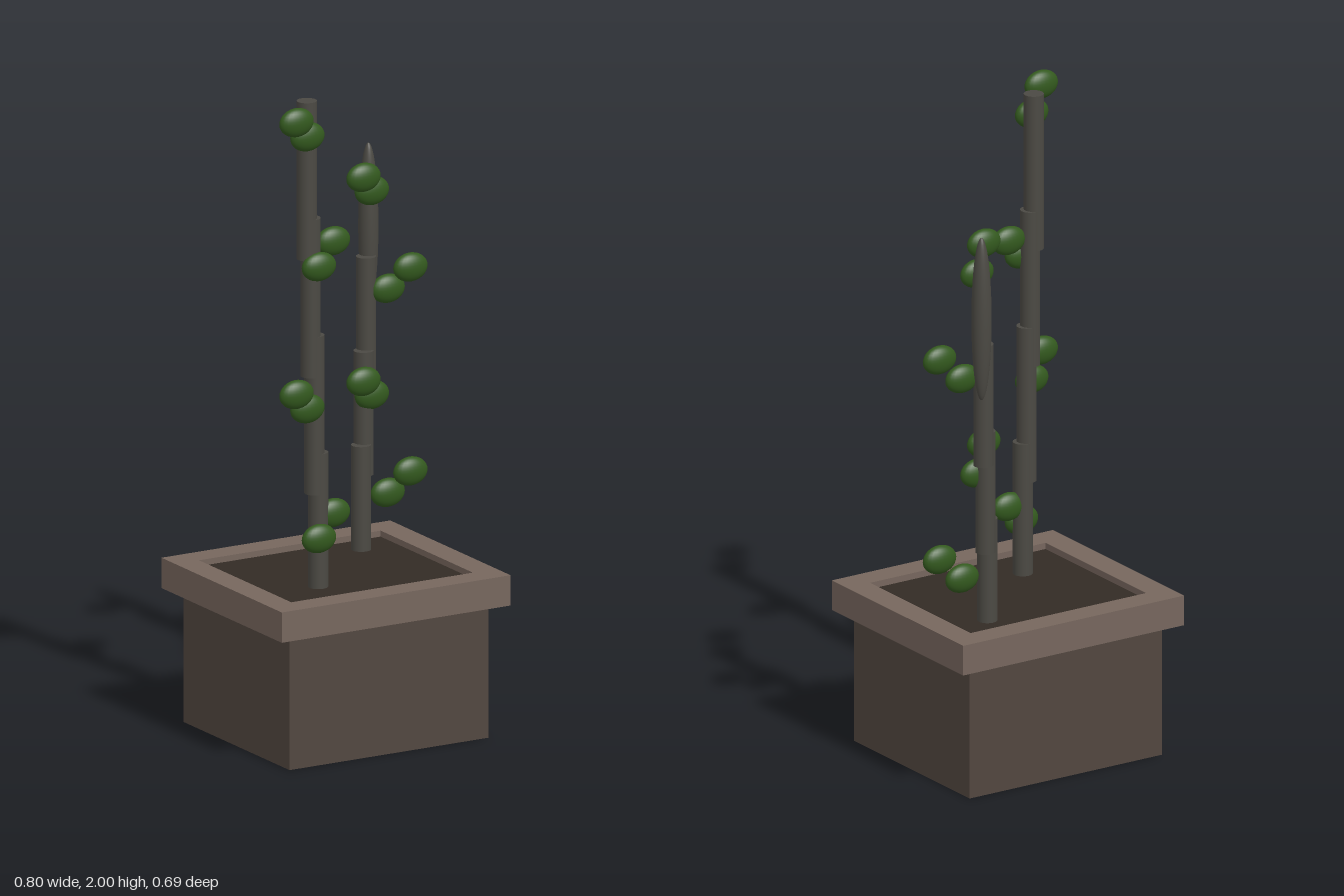
import * as THREE from 'three';

const mat = (color) => new THREE.MeshStandardMaterial({ color });

export function createModel() {
  const model = new THREE.Group();
  const potMat = mat(0x51463f), rimMat = mat(0x76665d), soilMat = mat(0x332b25);
  const stemMat = mat(0x4b4943), leafMat = mat(0x33591e);

  const add = (parent, name, geometry, material, x, y, z) => {
    const mesh = new THREE.Mesh(geometry, material);
    mesh.name = name;
    mesh.position.set(x, y, z);
    parent.add(mesh);
    return mesh;
  };

  // Planter: solid body, square rim with an opening, raised soil inside it
  const planter = new THREE.Group();
  planter.name = 'planter';
  model.add(planter);
  const cx = -0.007, cz = -0.001;
  add(planter, 'potBody', new THREE.BoxGeometry(0.685, 0.41, 0.61), potMat, cx, 0.205, cz);
  add(planter, 'soil', new THREE.BoxGeometry(0.609, 0.08, 0.505), soilMat, cx, 0.447, cz);

  const rect = (shape, w, d) => shape.moveTo(-w, -d).lineTo(w, -d).lineTo(w, d).lineTo(-w, d).closePath();
  const rimShape = rect(new THREE.Shape(), 0.3935, 0.346);
  rimShape.holes.push(rect(new THREE.Path(), 0.3125, 0.265));
  const rimGeo = new THREE.ExtrudeGeometry(rimShape, { depth: 0.093, bevelEnabled: false });
  rimGeo.rotateX(-Math.PI / 2);
  add(planter, 'rim', rimGeo, rimMat, cx, 0.408, cz);

  // Stem: overlapping upright segments, each shifted a little from the last
  const addStem = (plant, count, length, rise, start, shift) => {
    const geo = new THREE.CylinderGeometry(0.03, 0.03, length, 24);
    for (let i = 0; i < count; i++) {
      add(plant, 'stemSegment', geo, stemMat,
        start[0] + shift[0] * i, start[1] + rise * i + length / 2, start[2] + shift[1] * i);
    }
  };

  // Leaves: flattened ellipsoids in pairs that repeat up the stem
  const leafGeo = new THREE.SphereGeometry(1, 24, 16).scale(0.057, 0.044, 0.027);
  const addLeaves = (plant, spots, repeat) => {
    for (let i = 0; i < 2; i++) {
      for (const [x, y, z] of spots) add(plant, 'leaf', leafGeo, leafMat, x, y + repeat * i, z);
    }
  };

  // Tall plant at the front
  const tall = new THREE.Group();
  tall.name = 'tallPlant';
  model.add(tall);
  addStem(tall, 4, 0.485, 0.361, [-0.138, 0.415, 0.115], [-0.013, 0]);
  addLeaves(tall, [
    [-0.152, 0.643, 0.143], [-0.087, 0.706, 0.115],
    [-0.215, 1.06, 0.182], [-0.28, 1.124, 0.228],
  ], 0.834);

  // Short plant at the back, ending in a slender bud
  const short = new THREE.Group();
  short.name = 'shortPlant';
  model.add(short);
  addStem(short, 3, 0.38, 0.282, [0.178, 0.428, -0.166], [0.0195, -0.0185]);
  addLeaves(short, [
    [0.279, 0.643, -0.182], [0.341, 0.706, -0.155],
    [0.215, 0.956, -0.166], [0.151, 1.02, -0.107],
  ], 0.626);
  add(short, 'budTip', new THREE.SphereGeometry(1, 24, 24).scale(0.03, 0.255, 0.03),
    stemMat, 0.236, 1.458, -0.221);

  return model;
}
